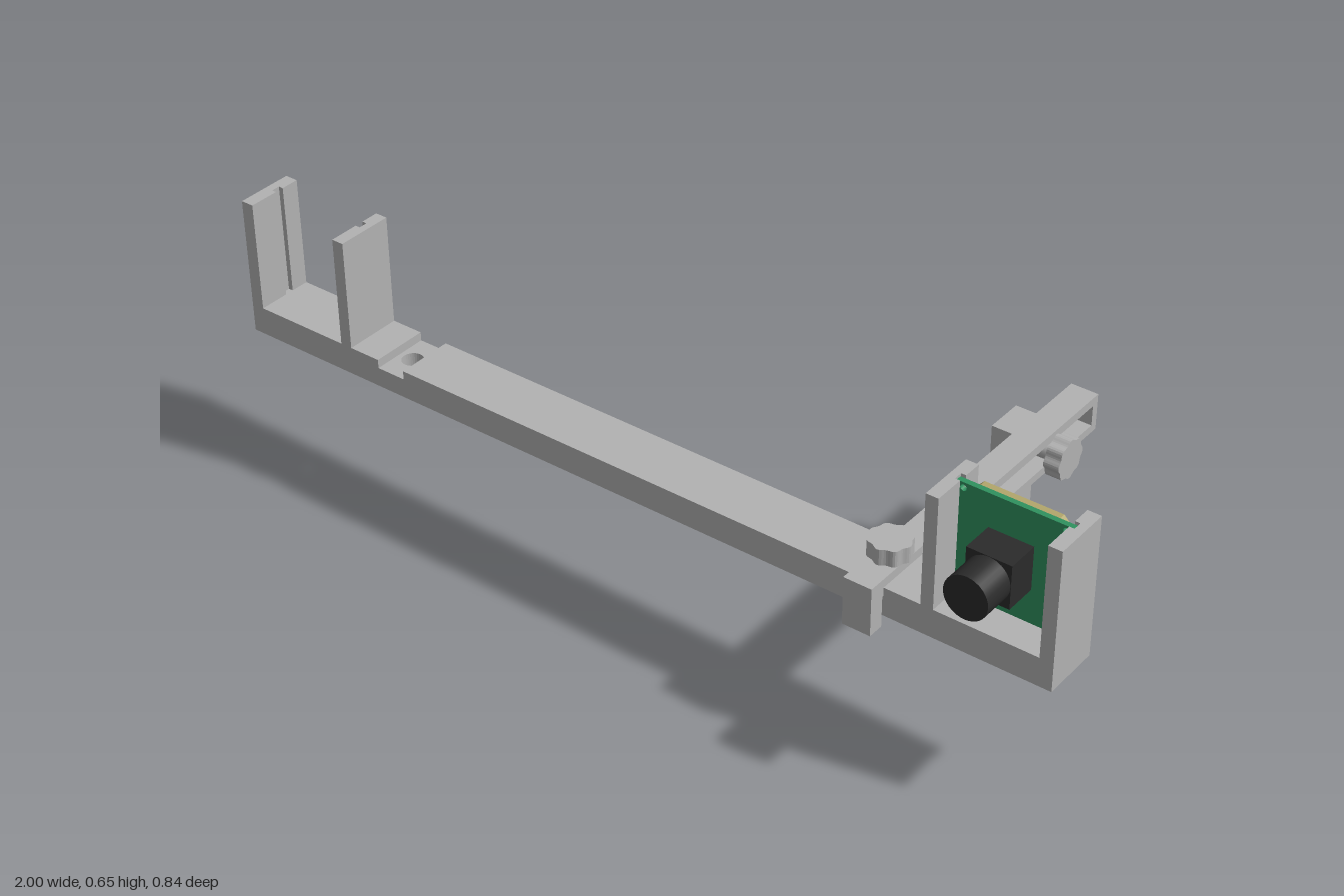
import * as THREE from 'three';

export function createModel() {
  const model = new THREE.Group();
  const mat = (name, color) => {
    const m = new THREE.MeshStandardMaterial({ color });
    m.name = name;
    return m;
  };
  const gray = mat('gray plastic', 0xb2b2b2);
  const green = mat('board green', 0x2f915f);
  const tan = mat('backing tan', 0xb2a66c);
  const black = mat('lens black', 0x2b2b2b);

  const add = (name, geometry, material = gray) => {
    const mesh = new THREE.Mesh(geometry, material);
    mesh.name = name;
    model.add(mesh);
    return mesh;
  };
  // box from its minimum and maximum on each axis
  const box = (name, x0, x1, y0, y1, z0, z1, material) =>
    add(name, new THREE.BoxGeometry(x1 - x0, y1 - y0, z1 - z0)
      .translate((x0 + x1) / 2, (y0 + y1) / 2, (z0 + z1) / 2), material);
  const shapeOf = pts => new THREE.Shape(pts.map(p => new THREE.Vector2(...p)));
  const hole = (shape, x, y, r) => {
    const p = new THREE.Path();
    p.absarc(x, y, r, 0, Math.PI * 2, true);
    shape.holes.push(p);
  };
  const extrude = (shape, depth) =>
    new THREE.ExtrudeGeometry(shape, { depth, bevelEnabled: false, curveSegments: 16 });
  // plan outline drawn as (x, -z), raised from y0 to y1
  const upward = (shape, y0, y1) => extrude(shape, y1 - y0).rotateX(-Math.PI / 2).translate(0, y0, 0);
  // side outline drawn as (z, y), spanning x0 to x1
  const sideways = (shape, x0, x1) => extrude(shape, x1 - x0).rotateY(-Math.PI / 2).translate(x1, 0, 0);

  const zBack = 0.215, zFront = 0.347, zMid = 0.28;
  const barLow = 0.33, barTop = 0.395, seat = 0.375;
  const armX = 0.598;

  // long bar: solid runs between two notched seats with bolt holes
  for (const [a, b] of [[-1, -0.64], [-0.57, 0.565], [0.63, 1]]) {
    box('bar', a, b, barLow, barTop, zBack, zFront);
  }
  for (const [a, b] of [[-0.64, -0.57], [0.565, 0.63]]) {
    const s = shapeOf([[a, -zFront], [b, -zFront], [b, -zBack], [a, -zBack]]);
    hole(s, (a + b) / 2, -zMid, 0.024);
    add('notchedSeat', upward(s, barLow, seat));
  }

  // grooved uprights at both ends; the groove is on the inner face
  const upright = (outer, inner) => {
    const floor = inner + Math.sign(outer - inner) * 0.011;
    const pts = [[outer, -zFront], [inner, -zFront], [inner, -0.277], [floor, -0.277],
      [floor, -0.257], [inner, -0.257], [inner, -zBack], [outer, -zBack]];
    add('upright', upward(shapeOf(pts), barTop, 0.648));
  };
  upright(-1, -0.97);
  upright(-0.715, -0.743);
  upright(0.712, 0.74);
  upright(1, 0.97);

  // slotted arm, hooked over the bar at the front
  const arm = shapeOf([[-0.418, 0.33], [zBack, 0.33], [zBack, seat], [zFront + 0.003, seat],
    [zFront + 0.003, 0.305], [0.387, 0.305], [0.387, 0.415], [-0.418, 0.415]]);
  arm.holes.push(new THREE.Path([[-0.4, 0.348], [-0.4, 0.395], [0.2, 0.395], [0.2, 0.348]]
    .map(p => new THREE.Vector2(...p))));
  add('slottedArm', sideways(arm, 0.566, 0.63));

  // hanging leg with a bolt hole near its top
  const leg = shapeOf([[-0.29, 0], [-0.2, 0], [-0.2, 0.41], [-0.29, 0.41]]);
  hole(leg, -0.245, 0.37, 0.022);
  add('leg', sideways(leg, 0.515, 0.563));

  // scalloped thumb screws
  const knob = (name, shaftLength) => {
    const pts = [];
    for (let i = 0; i < 64; i++) {
      const t = i / 64 * Math.PI * 2, r = 0.0435 + 0.0025 * Math.cos(8 * t);
      pts.push([r * Math.cos(t), r * Math.sin(t)]);
    }
    const group = new THREE.Group();
    group.name = name;
    const head = new THREE.Mesh(upward(shapeOf(pts), 0.006, 0.042), gray);
    head.name = 'knobHead';
    const shaft = new THREE.Mesh(new THREE.CylinderGeometry(0.019, 0.019, shaftLength, 20)
      .translate(0, 0.01 - shaftLength / 2, 0), gray);
    shaft.name = 'knobShaft';
    group.add(head, shaft);
    model.add(group);
    return group;
  };
  knob('topKnob', 0.075).position.set(armX, 0.415, zMid);
  const sideKnob = knob('sideKnob', 0.11);
  sideKnob.position.set(0.632, 0.37, -0.245);
  sideKnob.rotation.z = -Math.PI / 2;

  // circuit board sitting in the grooves, with corner holes
  const cx = 0.855, cy = 0.52;
  const board = shapeOf([[0.731, 0.396], [0.979, 0.396], [0.979, 0.645], [0.731, 0.645]]);
  for (const sx of [-1, 1]) for (const sy of [-1, 1]) hole(board, cx + sx * 0.109, cy + sy * 0.113, 0.007);
  add('circuitBoard', extrude(board, 0.012).translate(0, 0, 0.262), green);

  // backing plate with clipped corners
  const w = 0.112, h = 0.12, c = 0.028;
  const backing = shapeOf([[-w + c, -h], [w - c, -h], [w, -h + c], [w, h - c],
    [w - c, h], [-w + c, h], [-w, h - c], [-w, -h + c]]);
  add('backingPlate', extrude(backing, 0.02).translate(cx, cy, 0.242), tan);
  box('connector', cx - 0.04, cx + 0.04, cy - 0.027, cy + 0.027, 0.222, 0.243);

  // camera housing and lens barrel
  box('lensHousing', 0.803, 0.901, 0.472, 0.57, 0.274, 0.347, black);
  add('lensBarrel', new THREE.CylinderGeometry(0.048, 0.048, 0.075, 32)
    .rotateX(Math.PI / 2).translate(0.852, 0.521, 0.3825), black);

  return model;
}
